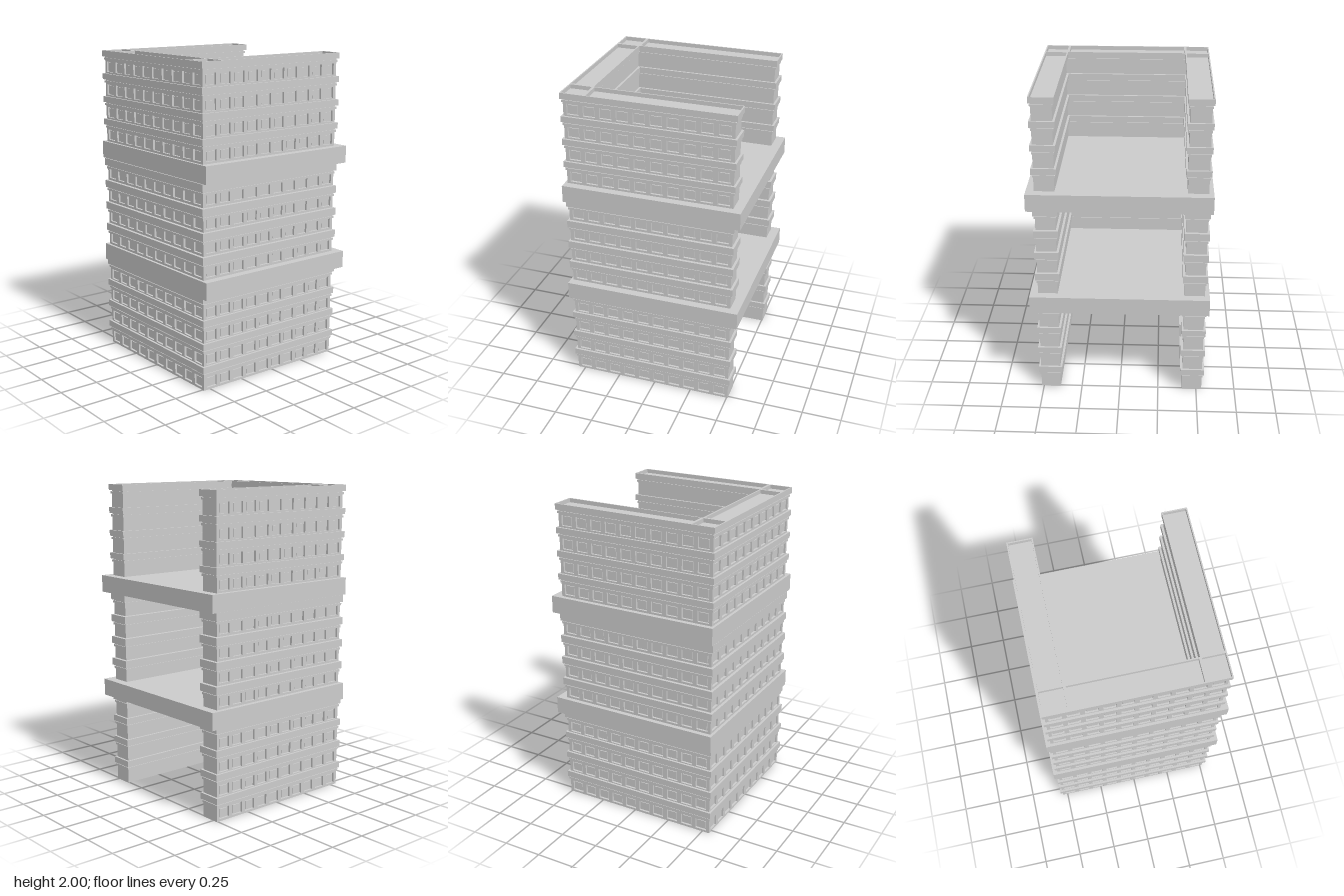
import * as THREE from 'three';
import { mergeGeometries } from 'three/addons/utils/BufferGeometryUtils.js';

// wall plan: outer faces, inner faces, open back
const X0 = -0.535, X1 = 0.515, Z0 = -0.507, Z1 = 0.548;
const IX0 = -0.408, IX1 = 0.39, IZ = 0.42;
const RECESS = 0.014, FLOORS = 4, WINDOWS = 10, PITCH = 0.104;

// U-shaped plan grown by separate amounts on its outer, inner and back faces
function planU(outer, inner = outer, back = outer) {
  const l = X0 - outer, r = X1 + outer, f = Z1 + outer, b = Z0 - back;
  return new THREE.Shape([
    [l, b], [IX0 + inner, b], [IX0 + inner, IZ - inner], [IX1 - inner, IZ - inner],
    [IX1 - inner, b], [r, b], [r, f], [l, f],
  ].map(([x, z]) => new THREE.Vector2(x, z)));
}

function rect(x0, y0, x1, y1, Type = THREE.Path) {
  return new Type([[x0, y0], [x1, y0], [x1, y1], [x0, y1]].map(([x, y]) => new THREE.Vector2(x, y)));
}

// extrude a plan (x, z) between two heights
function rise(shape, y0, y1) {
  return new THREE.ExtrudeGeometry(shape, { depth: y1 - y0, bevelEnabled: false })
    .rotateX(Math.PI / 2).translate(0, y1, 0);
}

// strip of wall with a row of window openings and a raised pane in each
function windowStrip(half, height) {
  const shape = rect(-half, 0, half, height, THREE.Shape);
  const panes = [];
  for (let i = 0; i < WINDOWS; i++) {
    const x = (i - (WINDOWS - 1) / 2) * PITCH;
    shape.holes.push(rect(x - 0.038, 0.014, x + 0.038, 0.082));
    panes.push(new THREE.BoxGeometry(0.06, 0.05, 0.007).toNonIndexed().translate(x, 0.048, 0.0035));
  }
  return mergeGeometries([
    new THREE.ExtrudeGeometry(shape, { depth: RECESS, bevelEnabled: false }), ...panes,
  ]);
}

export function createModel() {
  const model = new THREE.Group();
  model.name = 'towerBlock';
  const material = new THREE.MeshStandardMaterial({ color: 0xcccccc, flatShading: true });
  const add = (name, geometry, parent = model) => {
    const mesh = new THREE.Mesh(geometry, material);
    mesh.name = name;
    parent.add(mesh);
    return mesh;
  };

  const cx = (X0 + X1) / 2, cz = (Z0 + Z1) / 2;
  // three stacks of four floors, with the height of each cornice above its floor
  const stacks = [
    { base: 0, pitch: 0.149, low: 0.115, high: 0.156 },
    { base: 0.703, pitch: 0.148, low: 0.098, high: 0.145 },
    { base: 1.405, pitch: 0.148, low: 0.113, high: 0.151 },
  ];
  stacks.forEach(({ base, pitch, low, high }, s) => {
    const strips = [
      ['frontWindows', windowStrip((X1 - X0) / 2 - RECESS, low), cx, Z1 - RECESS, 0],
      ['leftWindows', windowStrip((Z1 - Z0) / 2, low), X1 - RECESS, cz, Math.PI / 2],
      ['rightWindows', windowStrip((Z1 - Z0) / 2, low), X0 + RECESS, cz, -Math.PI / 2],
    ];
    for (let k = 0; k < FLOORS; k++) {
      const y = base + k * pitch;
      const floor = new THREE.Group();
      floor.name = 'floor';
      model.add(floor);
      add('wallCore', rise(planU(-RECESS, 0, 0), y, y + low), floor);
      for (const [name, geometry, x, z, turn] of strips) {
        const strip = add(name, geometry, floor);
        strip.position.set(x, y, z);
        strip.rotation.y = turn;
      }
      // moulding under the projecting cornice
      add('moulding', rise(planU(0.006), y + low - 0.022, y + low - 0.008), floor);
      const roof = s === 2 && k === FLOORS - 1;
      add('cornice', rise(planU(0.014), y + low, roof ? 1.975 : y + high), floor);
    }
  });

  // roof parapet: raised rims around five shallow trays
  const rim = planU(0.014);
  const xl = -0.394, xr = 0.376, zf = 0.406, w = 0.008;
  const tray = (x0, z0, x1, z1) => rim.holes.push(rect(x0 + w, z0 + w, x1 - w, z1 - w));
  for (const [a, b] of [[X0 - 0.014, xl], [xr, X1 + 0.014]]) {
    tray(a, Z0 - 0.014, b, zf);
    tray(a, zf, b, Z1 + 0.014);
  }
  tray(xl, zf, xr, Z1 + 0.014);
  add('roofParapet', rise(rim, 1.975, 2));

  // full-width slabs between the stacks
  for (const y of [0.648, 1.351]) {
    add('slab', new THREE.BoxGeometry(1.13, 0.11, 1.13)).position.y = y;
  }
  return model;
}
